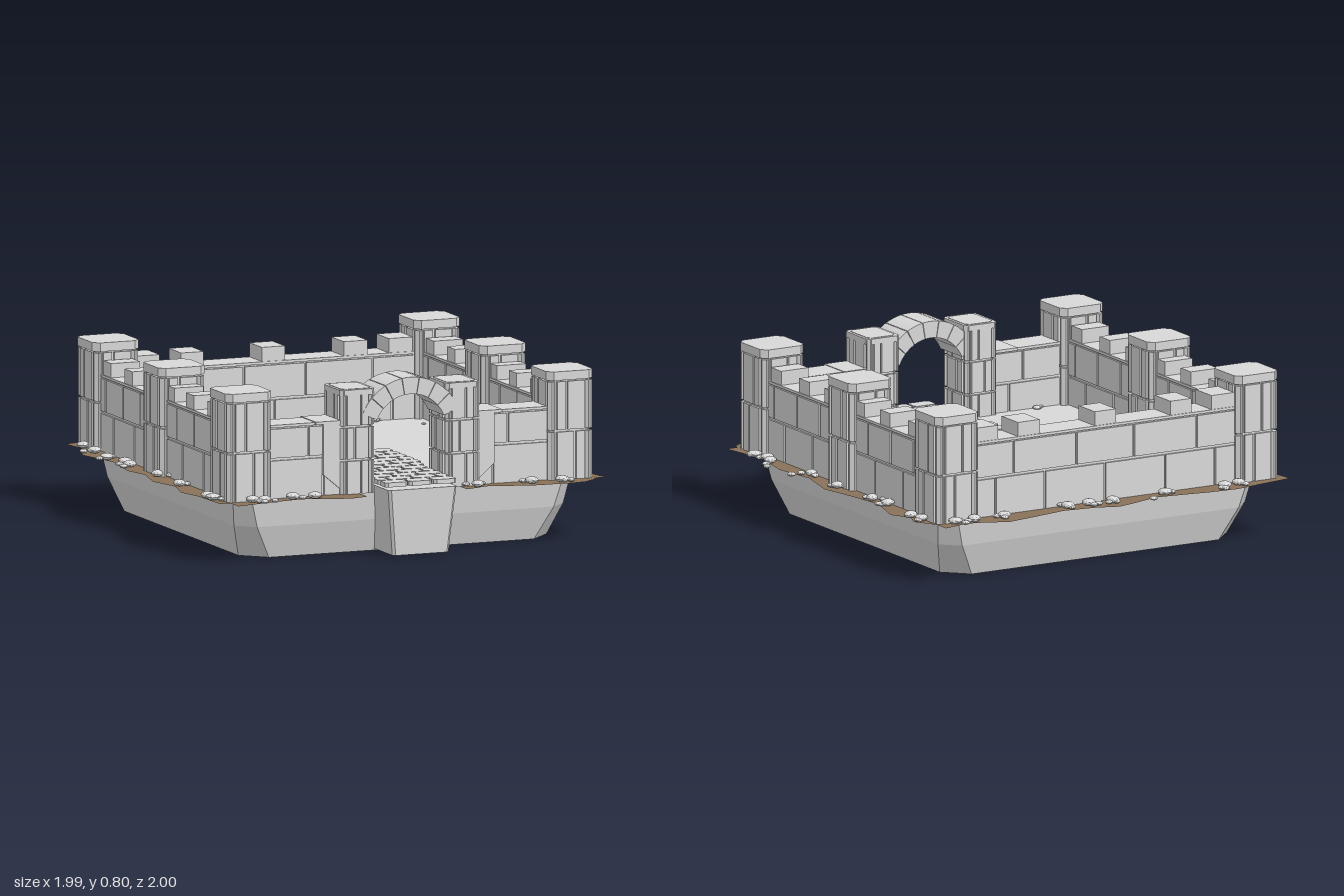
import * as THREE from 'three';

const stone = new THREE.MeshStandardMaterial({ color: 0xd8d8d8 });
stone.name = 'stone grey'; stone.flatShading = true;
const earth = new THREE.MeshStandardMaterial({ color: 0x89725a, side: THREE.DoubleSide });
earth.name = 'earth brown';

const CX = -0.015, GROUND = 0.282, FLOOR = 0.324;

let seed = 7;
const rand = () => (seed = (seed * 16807) % 2147483647) / 2147483647;

function add(parent, geometry, material, name, x = 0, y = 0, z = 0) {
  const mesh = new THREE.Mesh(geometry, material);
  mesh.name = name;
  mesh.position.set(x, y, z);
  parent.add(mesh);
  return mesh;
}

function group(parent, name, x = 0, y = 0, z = 0) {
  const g = new THREE.Group();
  g.name = name;
  g.position.set(x, y, z);
  parent.add(g);
  return g;
}

const box = (parent, name, x0, x1, y0, y1, z0, z1) =>
  add(parent, new THREE.BoxGeometry(x1 - x0, y1 - y0, z1 - z0), stone, name,
    (x0 + x1) / 2, (y0 + y1) / 2, (z0 + z1) / 2);

// Rectangle with cut corners at height y
function ring(y, hx, hz, c, z = 0) {
  return [[-hx + c, hz], [hx - c, hz], [hx, hz - c], [hx, c - hz],
    [hx - c, -hz], [c - hx, -hz], [-hx, c - hz], [-hx, hz - c]]
    .map(([px, pz]) => [px, y, pz + z]);
}

// Closed solid through rings listed from bottom to top
function loft(rings) {
  const p = [], n = rings[0].length, top = rings[rings.length - 1], bot = rings[0];
  for (let k = 0; k < rings.length - 1; k++) {
    for (let i = 0; i < n; i++) {
      const j = (i + 1) % n, a = rings[k][i], b = rings[k][j], c = rings[k + 1][j], d = rings[k + 1][i];
      p.push(...a, ...b, ...c, ...a, ...c, ...d);
    }
  }
  for (let i = 1; i < n - 1; i++) {
    p.push(...top[0], ...top[i], ...top[i + 1], ...bot[0], ...bot[i + 1], ...bot[i]);
  }
  const g = new THREE.BufferGeometry();
  g.setAttribute('position', new THREE.Float32BufferAttribute(p, 3));
  g.computeVertexNormals();
  return g;
}

const slab = (hx, hz, c, y0, y1) => loft([ring(y0, hx, hz, c), ring(y1, hx, hz, c)]);

// Stacked tower: recessed core, cut corner posts, two unequal face panels on each side
function tower(parent, name, x, z, hx, hz, levels, cap) {
  const g = group(parent, name, x, 0, z), inset = 0.012, post = hx * 0.18;
  const top = levels[levels.length - 1][1];
  add(g, slab(hx - inset, hz - inset, 0.018, 0.28, top + 0.008), stone, 'towerCore');
  levels.forEach(([y0, y1], k) => {
    for (const sx of [-1, 1]) for (const sz of [-1, 1]) {
      add(g, slab(post, post, post * 0.8, y0, y1), stone, 'cornerPost', sx * (hx - post), 0, sz * (hz - post));
    }
    const flip = k % 2 ? 1 : -1;
    for (const [a, b] of [[-0.62, -0.24], [-0.13, 0.62]]) {
      const lo = Math.min(a * flip, b * flip), hi = Math.max(a * flip, b * flip);
      box(g, 'panelAcross', lo * hx, hi * hx, y0, y1, -hz, hz);
      box(g, 'panelAlong', -hx, hx, y0, y1, lo * hz, hi * hz);
    }
  });
  if (cap) add(g, slab(hx + 0.005, hz + 0.005, 0.028, cap[0], cap[1]), stone, 'towerCap');
  else add(g, slab(hx + 0.002, hz + 0.002, 0.018, top - 0.02, top + 0.006), stone, 'pillarTop');
}

// Straight wall along local x, with two block courses, coping and merlons
function wall(parent, name, len, thick, upper, lower, merlons, top = 0.63) {
  const g = group(parent, name), h = thick / 2, half = len / 2;
  box(g, 'wallCore', -half, half, 0.28, top - 0.005, 0.01 - h, h - 0.01);
  const course = (cuts, y0, y1) => {
    for (let i = 0; i < cuts.length - 1; i++) {
      box(g, 'wallBlock', (cuts[i] - 0.5) * len + 0.005, (cuts[i + 1] - 0.5) * len - 0.005, y0, y1, -h, h);
    }
  };
  course(lower, 0.28, 0.452);
  course(upper, 0.464, top - 0.018);
  box(g, 'coping', -half, half, top - 0.012, top, -h, h);
  for (const [a, b] of merlons) box(g, 'merlon', a, b, top - 0.005, 0.695, 0.004 - h, h - 0.004);
  return g;
}

function buildBase(root) {
  const base = loft([ring(0, 0.753, 0.763, 0.105), ring(0.15, 0.805, 0.81, 0.08), ring(0.279, 0.825, 0.83, 0.065)]);
  add(root, base, stone, 'base', CX, 0, -0.01);

  // Courtyard floor, slightly domed over a raised slab
  box(root, 'courtyardSlab', -0.78, 0.75, 0.27, FLOOR - 0.001, -0.77, 0.76);
  const floor = new THREE.PlaneGeometry(1.53, 1.53, 8, 8).rotateX(-Math.PI / 2);
  const pos = floor.attributes.position;
  for (let i = 0; i < pos.count; i++) {
    pos.setY(i, 0.011 * Math.cos(pos.getX(i) * 2.05) * Math.cos(pos.getZ(i) * 2.05));
  }
  add(root, floor, stone, 'courtyardFloor', CX, FLOOR, -0.005);

  // Ragged earth edge, points as [x, z]
  const outline = [
    [-0.95, -0.92], [-0.91, -0.93], [-0.79, -0.95], [-0.64, -0.98], [-0.5, -0.97], [-0.38, -0.95], [-0.24, -0.93],
    [-0.12, -0.97], [-0.01, -1], [0.1, -0.96], [0.25, -0.94], [0.4, -0.97], [0.57, -1], [0.68, -0.95],
    [0.75, -0.93], [0.88, -0.96], [0.88, -0.88], [0.94, -0.78], [0.91, -0.7],
    [0.96, -0.61], [0.9, -0.4], [0.93, -0.19], [0.96, -0.03], [0.91, 0.19], [0.94, 0.4], [0.9, 0.61],
    [0.92, 0.77], [0.94, 0.87], [0.88, 0.87], [0.87, 0.9], [0.8, 0.95], [0.73, 0.96], [0.54, 0.95], [0.45, 0.92],
    [0.35, 0.89], [0.23, 0.93], [0.23, 0.8], [-0.26, 0.8], [-0.26, 0.94], [-0.33, 0.96], [-0.42, 0.95],
    [-0.56, 0.89], [-0.72, 0.92], [-0.9, 0.96], [-0.9, 0.87], [-0.95, 0.87], [-0.96, 0.64], [-0.99, 0.51],
    [-0.95, 0.35], [-0.99, 0.19], [-0.95, 0], [-0.98, -0.13], [-0.94, -0.35], [-1, -0.61], [-0.93, -0.77]];
  const shape = new THREE.Shape(outline.map(([x, z]) => new THREE.Vector2(x, -z)));
  add(root, new THREE.ShapeGeometry(shape).rotateX(-Math.PI / 2), earth, 'earthEdge', 0, 0.28, 0);

  // Entrance ramp block
  add(root, loft([ring(0.008, 0.137, 0.14, 0.012, 0.835), ring(0.31, 0.167, 0.17, 0.012, 0.828)]),
    stone, 'entranceBlock', -0.012);
}

function buildPaving(root) {
  const g = group(root, 'pavingStones');
  for (let r = 0; r < 11; r++) {
    const z = 0.135 + r * 0.081;
    const [x0, x1] = r < 5 ? [-0.23, 0.2] : r === 5 ? [-0.205, 0.18] : [-0.192, 0.163];
    const cuts = r % 2 ? [0, 0.165, 0.5, 0.835, 1] : [0, 0.333, 0.667, 1];
    for (let i = 0; i < cuts.length - 1; i++) {
      const a = x0 + (x1 - x0) * cuts[i], b = x0 + (x1 - x0) * cuts[i + 1];
      add(g, slab((b - a) / 2 - 0.004, 0.037, 0.012, 0.322, 0.343), stone, 'pavingStone', (a + b) / 2, 0, z);
    }
  }
}

function buildWalls(root) {
  const up = [0, 0.11, 0.455, 0.8, 1], low = [0, 0.27, 0.69, 1];
  const merlons = [[-0.26, -0.17], [-0.015, 0.075], [0.21, 0.28]];
  for (const [x, side] of [[-0.802, 'right'], [0.775, 'left']]) {
    for (const [z, end] of [[0.37, 'Front'], [-0.4, 'Back']]) {
      const w = wall(root, side + end + 'Wall', 0.58, 0.15, up, low, merlons);
      w.position.set(x, 0, z);
      w.rotation.y = end === 'Front' ? Math.PI / 2 : -Math.PI / 2;
    }
  }
  const back = wall(root, 'backWall', 1.37, 0.15, [0, 0.15, 0.39, 0.61, 0.85, 1],
    [0, 0.08, 0.27, 0.5, 0.73, 0.92, 1],
    [[-0.685, -0.56], [-0.455, -0.345], [-0.06, 0.052], [0.34, 0.455], [0.56, 0.685]]);
  back.position.set(CX, 0, -0.785);

  // Front walls with a plain plate on the outside, beside the gate
  for (const s of [-1, 1]) {
    const w = wall(root, s < 0 ? 'frontRightWall' : 'frontLeftWall', 0.36, 0.155,
      s < 0 ? [0, 0.55, 1] : [0, 0.45, 1], s < 0 ? [0, 0.75, 1] : [0, 0.25, 1], [], 0.615);
    w.position.set(CX + s * 0.505, 0, 0.753);
    const plate = new THREE.Shape([[0.3, 0.285], [0.335, 0.305], [0.418, 0.375], [0.418, 0.605], [0.3, 0.605]]
      .map(([x, y]) => new THREE.Vector2(s * x, y)));
    add(root, new THREE.ExtrudeGeometry(plate, { depth: 0.08, bevelEnabled: false }), stone, 'gatePlate', CX, 0, 0.76);
    const a = CX + s * 0.33, b = CX + s * 0.455;
    box(root, 'gateLedge', Math.min(a, b), Math.max(a, b), 0.605, 0.618, 0.665, 0.843);
  }
}

function buildGate(root) {
  const levels = [[0.28, 0.43], [0.44, 0.582], [0.592, 0.75]];
  for (const s of [-1, 1]) {
    tower(root, s < 0 ? 'rightGatePillar' : 'leftGatePillar', -0.013 + s * 0.256, 0.75, 0.083, 0.103, levels, null);
  }
  // Arch of seven wedge stones
  const arch = group(root, 'gateArch', -0.013, 0.541, 0.665), spread = 1.17, n = 7;
  for (let i = 0; i < n; i++) {
    const a = Math.PI / 2 - spread + (2 * spread * i) / n + 0.006, b = a + (2 * spread) / n - 0.012;
    const shape = new THREE.Shape();
    shape.absarc(0, 0, 0.255, a, b, false);
    shape.absarc(0, 0, 0.178, b, a, true);
    add(arch, new THREE.ExtrudeGeometry(shape, { depth: 0.19, bevelEnabled: false, curveSegments: 2 }), stone, 'archStone');
  }
}

function buildRocks(root) {
  const g = group(root, 'rocks');
  const outer = [
    [-0.68, -0.92], [-0.6, -0.93], [-0.3, -0.91], [-0.02, -0.92], [0.1, -0.91], [0.21, -0.91], [0.55, -0.92],
    [0.7, -0.91], [0.8, -0.91], [-0.92, -0.78], [-0.93, -0.63], [-0.95, -0.44], [-0.92, -0.3], [-0.93, -0.22],
    [-0.92, 0.07], [-0.93, 0.35], [-0.94, 0.7], [-0.94, 0.76], [0.9, -0.78], [0.91, -0.7], [0.88, -0.45],
    [0.89, -0.33], [0.9, -0.04], [0.88, 0.22], [0.91, 0.53], [0.89, 0.59], [0.91, 0.67], [-0.8, 0.89],
    [-0.75, 0.91], [-0.6, 0.88], [-0.5, 0.9], [0.3, 0.89], [0.56, 0.9], [0.7, 0.92]];
  const inner = [[-0.45, -0.68], [0.47, -0.69], [-0.69, -0.54], [-0.69, 0.12], [-0.69, 0.44], [0.67, -0.5],
    [0.66, -0.16], [0.66, 0.37], [-0.56, 0.65], [0.46, 0.65]];
  const single = [[0.975, 0.45], [0.96, 0.26], [-0.2, -0.975]];
  const rock = (x, y, z, r) => {
    const m = add(g, new THREE.IcosahedronGeometry(r, 1), stone, 'rock', x, y + r * 0.45, z);
    m.scale.set(1, 0.5, 0.8 + rand() * 0.3);
    m.rotation.y = rand() * 6;
  };
  const cluster = (list, n, y, r, spread) => {
    for (const [x, z] of list) for (let i = 0; i < n; i++) {
      const off = () => (i ? (rand() - 0.5) * spread : 0);
      rock(x + off(), y, z + off(), r * (i ? 0.6 : 1));
    }
  };
  cluster(outer, 3, GROUND, 0.032, 0.09);
  cluster(inner, 3, FLOOR, 0.02, 0.07);
  cluster(single, 1, GROUND, 0.02, 0);
}

export function createModel() {
  const root = new THREE.Group();
  root.name = 'walledCourtyard';
  buildBase(root);
  buildPaving(root);
  buildWalls(root);
  buildGate(root);
  for (const [x, side] of [[-0.8, 'right'], [0.77, 'left']]) {
    for (const [z, end] of [[0.75, 'Front'], [-0.02, 'Middle'], [-0.78, 'Back']]) {
      tower(root, side + end + 'Tower', x, z, 0.108, 0.108, [[0.28, 0.498], [0.508, 0.728]], [0.735, 0.775]);
    }
  }
  buildRocks(root);
  return root;
}
